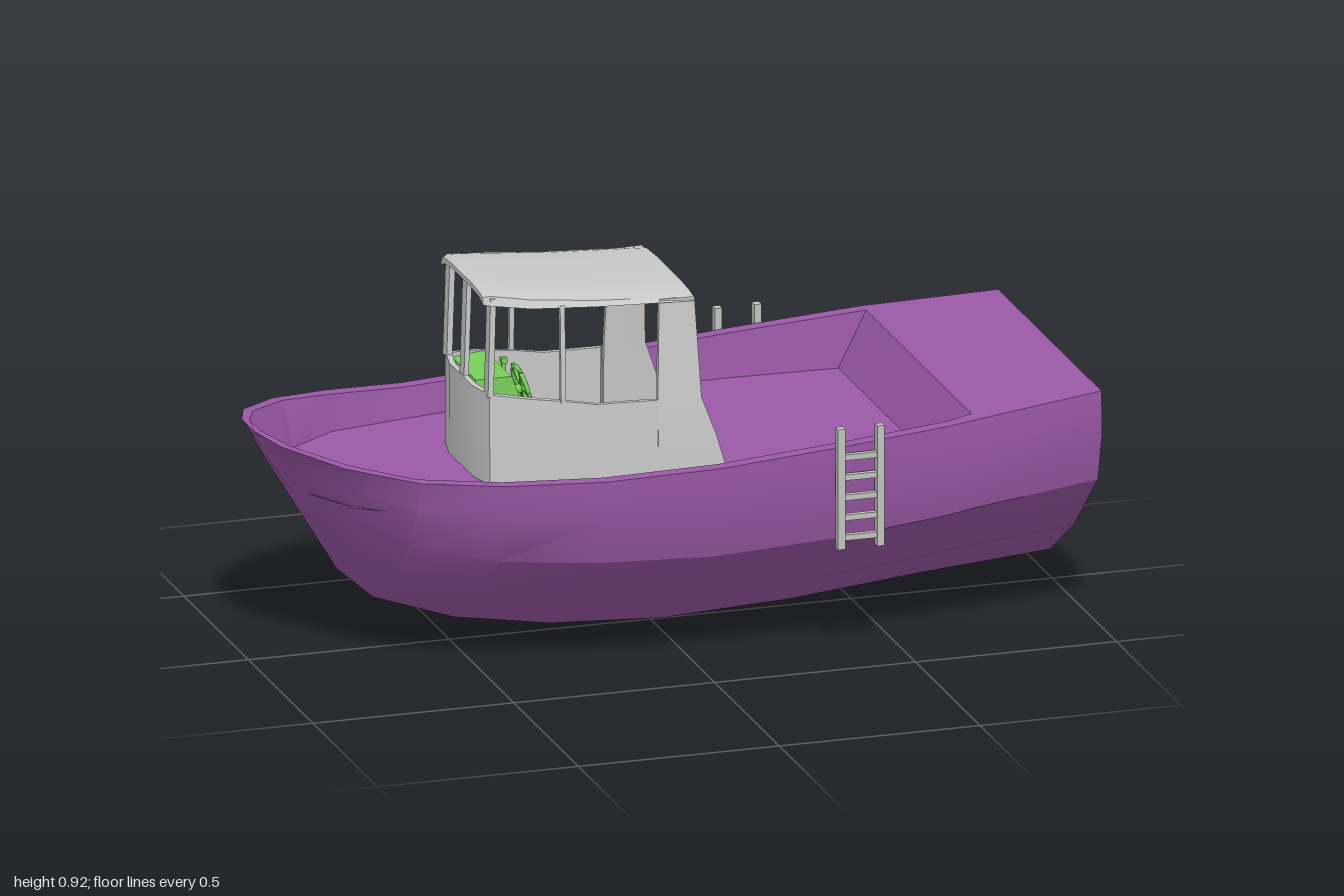
import * as THREE from 'three';
import { toCreasedNormals } from 'three/addons/utils/BufferGeometryUtils.js';

const material = (name, color) => {
  const m = new THREE.MeshStandardMaterial({ color });
  m.name = name;
  return m;
};

// Solid skinned over closed rings of [x, y, z] points, with both ends capped
function loft(rings, crease = 0.5) {
  const n = rings[0].length;
  const tris = [];
  const add = (...t) => {
    const [a, b, c] = t.map((p) => new THREE.Vector3(...p));
    if (b.clone().sub(a).cross(c.clone().sub(a)).length() > 1e-7) tris.push([a, b, c]);
  };
  const quad = (a, b, c, d) => { add(a, b, c); add(a, c, d); };
  for (let i = 0; i < rings.length - 1; i++) {
    for (let j = 0; j < n; j++) {
      const k = (j + 1) % n;
      quad(rings[i][j], rings[i + 1][j], rings[i + 1][k], rings[i][k]);
    }
  }
  const first = rings[0], last = rings[rings.length - 1];
  for (let j = 0; j < Math.floor(n / 2); j++) {
    const k = n - 1 - j;
    if (k - 1 <= j) break;
    quad(first[j], first[j + 1], first[k - 1], first[k]);
    quad(last[k], last[k - 1], last[j + 1], last[j]);
  }
  // Turn the faces outward whichever way the rings run
  const volume = tris.reduce((v, [a, b, c]) => v + a.dot(b.clone().cross(c)), 0);
  const points = tris.flatMap(([a, b, c]) => (volume < 0 ? [a, c, b] : [a, b, c]));
  const geo = new THREE.BufferGeometry().setFromPoints(points);
  geo.computeVertexNormals();
  return toCreasedNormals(geo, crease);
}

const flipZ = ([x, y, z]) => [x, y, -z];
const mid = (a, b, dy, dz) => [(a[0] + b[0]) / 2, (a[1] + b[1]) / 2 + dy, (a[2] + b[2]) / 2 + dz];

function hullGeometry() {
  // Each station: sheer, chine, keel, inner rim, deck edge
  const bow = [
    [[-1, 0.59, 0.05], [-0.975, 0.54, 0.03], [-0.965, 0.52, 0], [-0.985, 0.59, 0.04], [-0.985, 0.59, 0.04]],
    [[-0.965, 0.58, 0.15], [-0.9, 0.46, 0.09], [-0.88, 0.375, 0], [-0.945, 0.578, 0.135], [-0.88, 0.44, 0.11]],
    [[-0.85, 0.555, 0.28], [-0.8, 0.4, 0.2], [-0.78, 0.21, 0], [-0.835, 0.555, 0.255], [-0.81, 0.44, 0.24]],
  ];
  // x, sheer y, sheer z, chine y, chine z, keel y, deck y
  const body = [
    [-0.69, 0.53, 0.37, 0.35, 0.29, 0.13, 0.44],
    [-0.49, 0.515, 0.41, 0.31, 0.355, 0.06, 0.44],
    [-0.25, 0.515, 0.45, 0.295, 0.395, 0.02, 0.44],
    [0.03, 0.525, 0.465, 0.29, 0.415, 0.005, 0.44],
    [0.35, 0.55, 0.465, 0.308, 0.42, 0.02, 0.44],
    [0.6, 0.57, 0.455, 0.335, 0.42, 0.045, 0.44],
    [0.67, 0.577, 0.448, 0.345, 0.415, 0.052, 0.577],
    [0.995, 0.6, 0.4, 0.37, 0.372, 0.078, 0.6],
  ].map(([x, sy, sz, cy, cz, ky, dy]) => [
    [x, sy, sz], [x, cy, cz], [x, ky, 0], [x, sy, sz - 0.035], [x, dy, sz - 0.045],
  ]);
  const rings = [...bow, ...body].map(([sheer, chine, keel, rim, deck]) => {
    const bulge = Math.min(1, sheer[2] / 0.4);
    const side = [
      mid(keel, chine, -0.025 * bulge, 0),
      chine,
      mid(chine, sheer, 0.01, 0.018 * bulge),
      sheer, rim, deck,
    ];
    return [keel, ...side, ...side.map(flipZ).reverse()];
  });
  return loft(rings);
}

export function createModel() {
  const purple = material('hull purple', 0x9c59a8);
  const grey = material('cabin grey', 0xc9c9c9);
  const pale = material('ladder grey', 0xc0c5bc);
  const green = material('console green', 0x78cf5a);

  const boat = new THREE.Group();
  boat.name = 'boat';
  const mesh = (parent, name, geo, mat) => {
    const m = new THREE.Mesh(geo, mat);
    m.name = name;
    parent.add(m);
    return m;
  };
  const box = (parent, name, mat, size, pos) => {
    const m = mesh(parent, name, new THREE.BoxGeometry(...size), mat);
    m.position.set(...pos);
    return m;
  };
  const group = (name) => {
    const g = new THREE.Group();
    g.name = name;
    boat.add(g);
    return g;
  };

  mesh(boat, 'hull', hullGeometry(), purple);

  // Cabin: low wall wrapped around the front, open at the rear
  const cabin = group('cabin');
  const half = [ // x, z, sill height
    [-0.05, 0.22, 0.625], [-0.2, 0.216, 0.628], [-0.28, 0.211, 0.642],
    [-0.37, 0.203, 0.655], [-0.455, 0.175, 0.665], [-0.472, 0.09, 0.665],
  ];
  const path = [...half, ...half.map(([x, z, y]) => [x, -z, y]).reverse()];
  mesh(cabin, 'cabinWall', loft(path.map(([x, z, y]) => {
    const ix = -0.2 + (x + 0.2) * 0.95, iz = z * 0.94;
    const topZ = z * 0.98;
    return [[x, 0.44, z], [x, y, topZ], [ix, y, iz * 0.98], [ix, 0.44, iz]];
  }), 0.6), grey);

  // Broad rear pillars flaring out to the deck
  const pillarRows = [ // y, fore x, aft x, fore z, aft z
    [0.44, -0.05, 0.115, 0.22, 0.241],
    [0.53, -0.05, 0.09, 0.219, 0.235],
    [0.625, -0.05, 0.056, 0.216, 0.224],
    [0.87, -0.042, 0.045, 0.2, 0.203],
  ];
  for (const s of [1, -1]) {
    mesh(cabin, 'rearPillar', loft(pillarRows.map(([y, fx, ax, fz, az]) => [
      [fx, y, s * fz], [ax, y, s * az], [ax, y, s * (az - 0.013)], [fx, y, s * (fz - 0.013)],
    ])), grey);
  }

  // Curved roof plate
  const roofRows = [ // x, half width, top y, edge y
    [-0.468, 0.165, 0.915, 0.888], [-0.45, 0.178, 0.92, 0.888], [-0.36, 0.197, 0.908, 0.878],
    [-0.2, 0.203, 0.892, 0.869], [0.045, 0.206, 0.878, 0.86],
  ];
  mesh(cabin, 'roof', loft(roofRows.map(([x, w, top, edge]) => {
    const right = [[x, edge, w], [x, top - 0.01, w * 0.95], [x, top - 0.004, w * 0.82], [x, top, w * 0.45]];
    const outer = [...right, ...right.map(flipZ).reverse()];
    const inner = outer.map(([px, y, z], i) => [px, i % 7 ? y - 0.012 : y, z * 0.94]);
    return [...outer, ...inner.reverse()];
  }), 0.5), grey);

  // Window posts, from sill to roof
  const post = (name, x0, y0, z0, x1, y1, z1, dx, dz) => {
    const ring = (x, y, z) => [[x - dx, y, z - dz], [x + dx, y, z - dz], [x + dx, y, z + dz], [x - dx, y, z + dz]];
    mesh(cabin, name, loft([ring(x0, y0, z0), ring(x1, y1, z1)]), grey);
  };
  post('windscreenPost', -0.463, 0.66, 0, -0.455, 0.912, 0, 0.006, 0.017);
  for (const s of [1, -1]) {
    post('cornerPost', -0.453, 0.66, s * 0.16, -0.446, 0.905, s * 0.158, 0.007, 0.016);
    post('sidePost', -0.282, 0.638, s * 0.202, -0.282, 0.878, s * 0.193, 0.006, 0.006);
  }

  // Helm console with sloped face, wheel and lever
  const helm = group('helm');
  const profile = [[-0.44, 0.44], [-0.33, 0.44], [-0.33, 0.6], [-0.35, 0.652], [-0.44, 0.652]];
  const consoleRing = (z, top) => profile.map(([x, y]) => [x, Math.min(y, top), z]);
  mesh(helm, 'console', loft([consoleRing(0.018, 1), consoleRing(-0.185, 1), consoleRing(-0.2, 0.61)]), green);
  const wheel = new THREE.Group();
  wheel.name = 'steeringWheel';
  wheel.position.set(-0.305, 0.6, -0.045);
  wheel.rotation.set(0, Math.PI / 2, 0);
  wheel.rotateX(-0.25);
  helm.add(wheel);
  mesh(wheel, 'wheelRim', new THREE.TorusGeometry(0.055, 0.006, 6, 12), green);
  for (let i = 0; i < 3; i++) {
    box(wheel, 'spoke', green, [0.125, 0.008, 0.008], [0, 0, 0]).rotation.z = (i * Math.PI) / 3;
  }
  const hub = mesh(wheel, 'hub', new THREE.CylinderGeometry(0.012, 0.012, 0.04, 8), green);
  hub.rotation.x = Math.PI / 2;
  hub.position.z = -0.012;
  box(helm, 'lever', green, [0.01, 0.05, 0.008], [-0.325, 0.62, -0.125]);
  box(helm, 'leverKnob', green, [0.014, 0.014, 0.016], [-0.325, 0.645, -0.125]);
  box(helm, 'leverBase', green, [0.02, 0.012, 0.05], [-0.325, 0.6, -0.125]);

  // Boarding ladders on both sides
  for (const s of [1, -1]) {
    const ladder = group('ladder');
    for (const x of [0.32, 0.418]) box(ladder, 'ladderRail', pale, [0.018, 0.3, 0.022], [x, 0.45, s * 0.477]);
    for (let i = 0; i < 5; i++) {
      box(ladder, 'rung', pale, [0.09, 0.014, 0.014], [0.369, 0.327 + i * 0.05, s * 0.477]);
    }
  }
  return boat;
}
